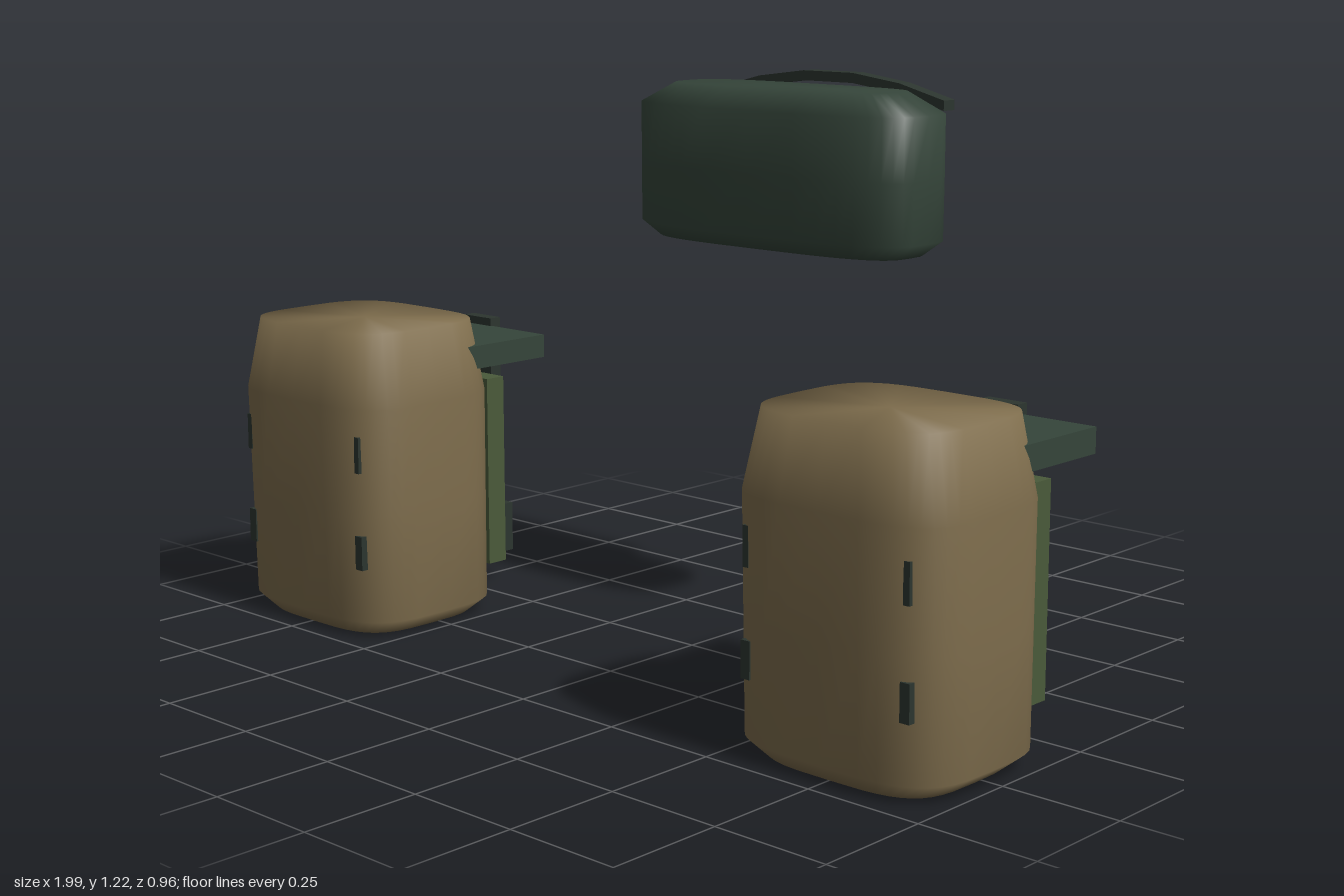
import * as THREE from 'three';

const mat = (name, color) => {
  const m = new THREE.MeshStandardMaterial({ color });
  m.name = name;
  return m;
};

// Smooth closed body lofted through superellipse rings [y, halfX, halfZ, centreZ]
function loft(rings, exponent, sides = 40) {
  const pos = [], index = [];
  const pow = (v) => Math.sign(v) * Math.pow(Math.abs(v), 2 / exponent);
  for (const [y, hx, hz, cz] of rings) {
    for (let i = 0; i < sides; i++) {
      const a = (i / sides) * Math.PI * 2;
      pos.push(hx * pow(Math.sin(a)), y, cz + hz * pow(Math.cos(a)));
    }
  }
  const top = rings[rings.length - 1];
  const base = pos.length / 3;
  pos.push(0, rings[0][0], rings[0][3], 0, top[0], top[3]);
  const last = (rings.length - 1) * sides;
  for (let i = 0; i < sides; i++) {
    const j = (i + 1) % sides;
    for (let r = 0; r < last; r += sides) {
      index.push(r + i, r + j, r + sides + j, r + i, r + sides + j, r + sides + i);
    }
    index.push(base, j, i, base + 1, last + i, last + j);
  }
  const g = new THREE.BufferGeometry();
  g.setAttribute('position', new THREE.Float32BufferAttribute(pos, 3));
  g.setIndex(index);
  g.computeVertexNormals();
  return g;
}

export function createModel() {
  const canvas = mat('tan canvas', 0x7d6c4c);
  const darkGreen = mat('dark green', 0x35453a);
  const olive = mat('olive green', 0x4a5a3a);
  const webbing = mat('dark webbing', 0x2c352f);

  const model = new THREE.Group();
  model.name = 'luggageSet';

  const add = (parent, name, geometry, material) => {
    const m = new THREE.Mesh(geometry, material);
    m.name = name;
    parent.add(m);
    return m;
  };
  // Box given by its min and max corners
  const box = (parent, name, material, [x0, y0, z0], [x1, y1, z1]) => {
    const m = add(parent, name, new THREE.BoxGeometry(x1 - x0, y1 - y0, z1 - z0), material);
    m.position.set((x0 + x1) / 2, (y0 + y1) / 2, (z0 + z1) / 2);
    return m;
  };

  // Pair of side bags
  const bagBody = loft([
    [0, 0.205, 0.17, 0.27],
    [0.035, 0.248, 0.2, 0.27],
    [0.27, 0.249, 0.203, 0.272],
    [0.51, 0.25, 0.206, 0.274],
    [0.67, 0.217, 0.184, 0.272],
  ], 3.7);
  for (const side of [-1, 1]) {
    const bag = new THREE.Group();
    bag.name = side > 0 ? 'leftBag' : 'rightBag';
    bag.position.x = side * 0.747;
    model.add(bag);

    add(bag, 'bagBody', bagBody, canvas);
    box(bag, 'lidFlap', darkGreen, [-0.22, 0.56, -0.07], [0.22, 0.612, 0.2]);
    box(bag, 'backPanel', olive, [-0.19, 0.095, 0.03], [0.19, 0.525, 0.08]);
    box(bag, 'lidStrap', webbing, [-0.045, 0.46, -0.095], [0.045, 0.63, -0.065]);
    box(bag, 'buckle', webbing, [-0.063, 0.07, -0.11], [0.063, 0.185, -0.04]);
    // Small loops on the front corners
    for (const s of [-1, 1]) {
      const x = s * 0.187;
      box(bag, 'upperLoop', webbing, [x - 0.007, 0.37, 0.44], [x + 0.007, 0.45, 0.459]);
      box(bag, 'lowerLoop', webbing, [x - 0.011, 0.155, 0.435], [x + 0.011, 0.23, 0.459]);
    }
  }

  // Upper case
  const topCase = new THREE.Group();
  topCase.name = 'topCase';
  model.add(topCase);
  add(topCase, 'caseBody', loft([
    [0.845, 0.34, 0.108, -0.308],
    [0.878, 0.383, 0.138, -0.308],
    [1.01, 0.384, 0.139, -0.308],
    [1.145, 0.384, 0.139, -0.308],
    [1.19, 0.297, 0.097, -0.308],
  ], 3.4), darkGreen);

  // Carry handle: a flat bowed strip
  const upper = [[-0.32, 1.167], [-0.2, 1.198], [-0.07, 1.215], [0.07, 1.215], [0.2, 1.198], [0.32, 1.167]];
  const lower = upper.map(([x, y]) => [x, y - 0.022]).reverse();
  const strip = new THREE.Shape([...upper, ...lower].map(([x, y]) => new THREE.Vector2(x, y)));
  const handle = add(topCase, 'carryHandle',
    new THREE.ExtrudeGeometry(strip, { depth: 0.038, bevelEnabled: false }), webbing);
  handle.position.z = -0.478;

  // Name plate on the back of the case
  box(topCase, 'plate', olive, [-0.085, 0.97, -0.479], [0.085, 1.03, -0.465]);
  box(topCase, 'plateInset', darkGreen, [-0.065, 0.992, -0.481], [0.065, 1.02, -0.478]);
  box(topCase, 'plateStripe', canvas, [-0.08, 0.974, -0.481], [0.08, 0.988, -0.478]);

  return model;
}
